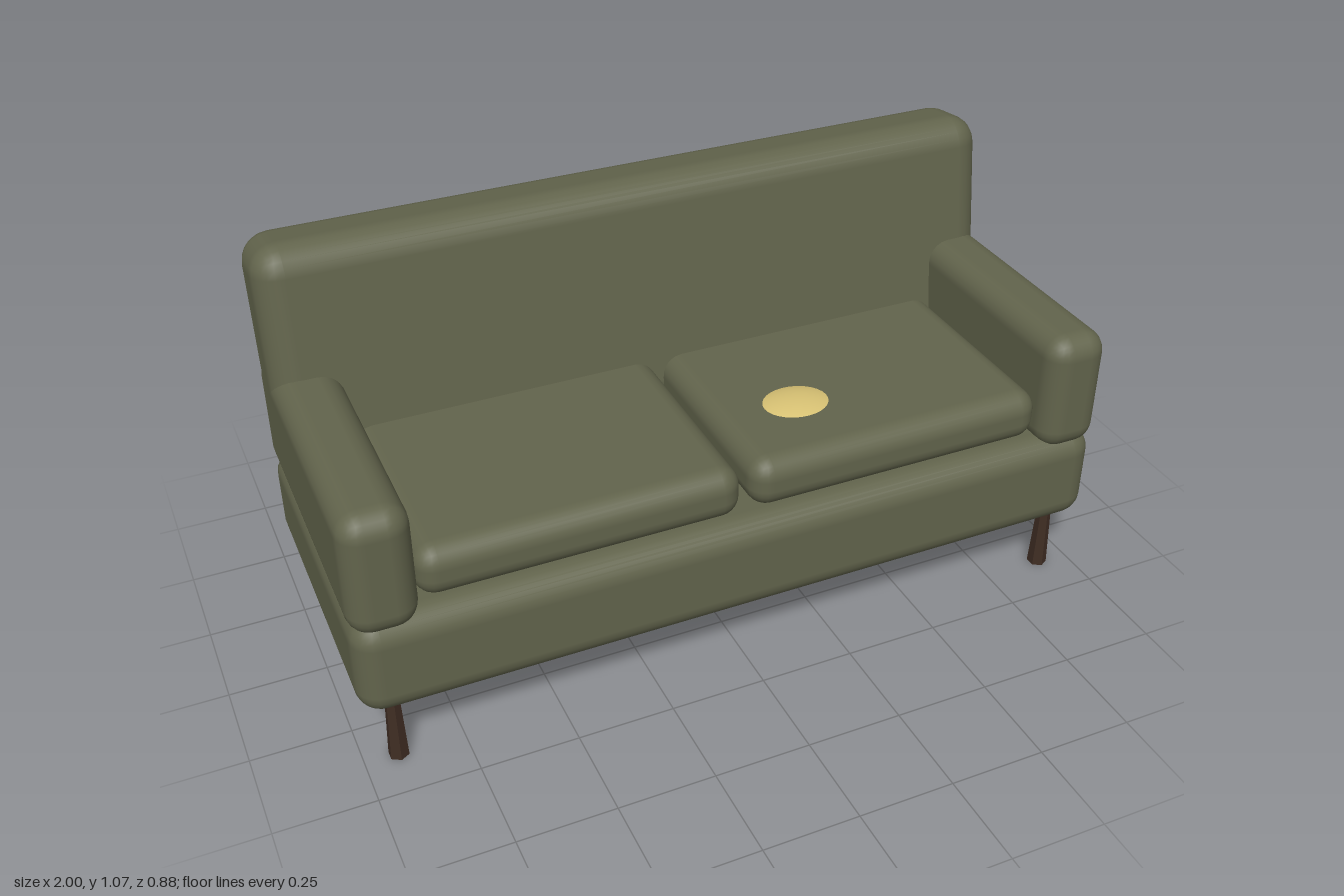
import * as THREE from 'three';
import { RoundedBoxGeometry } from 'three/addons/geometries/RoundedBoxGeometry.js';

export function createModel() {
  const sofa = new THREE.Group();
  sofa.name = 'sofa';

  const fabric = new THREE.MeshStandardMaterial({ color: 0x62644c });
  fabric.name = 'oliveFabric';
  const wood = new THREE.MeshStandardMaterial({ color: 0x3f2d23 });
  wood.name = 'darkWood';
  const yellow = new THREE.MeshStandardMaterial({ color: 0xd8c274 });
  yellow.name = 'paleYellow';

  function add(name, geometry, material, x, y, z) {
    const mesh = new THREE.Mesh(geometry, material);
    mesh.name = name;
    mesh.position.set(x, y, z);
    sofa.add(mesh);
    return mesh;
  }

  // Upholstered block given by its extents
  function block(name, [x0, x1], [y0, y1], [z0, z1], radius) {
    const geometry = new RoundedBoxGeometry(x1 - x0, y1 - y0, z1 - z0, 3, radius);
    return add(name, geometry, fabric, (x0 + x1) / 2, (y0 + y1) / 2, (z0 + z1) / 2);
  }

  block('base', [-1, 1], [0.18, 0.45], [-0.4, 0.44], 0.065);

  // Backrest leaning backwards
  const back = add('backrest', new RoundedBoxGeometry(2, 0.63, 0.226, 3, 0.075), fabric, 0, 0.751, -0.294);
  back.rotation.x = -0.14;

  // Arms and seat cushions
  block('leftArm', [0.83, 1], [0.415, 0.747], [-0.4, 0.44], 0.06);
  block('rightArm', [-1, -0.83], [0.415, 0.747], [-0.4, 0.44], 0.06);
  block('leftCushion', [0.01, 0.83], [0.452, 0.59], [-0.24, 0.405], 0.055);
  block('rightCushion', [-0.832, -0.014], [0.452, 0.59], [-0.24, 0.405], 0.055);

  // Small pillow sunk into the left cushion
  const pillow = add('pillow', new THREE.SphereGeometry(1, 28, 20), yellow, 0.235, 0.55, 0.175);
  pillow.scale.set(0.138, 0.052, 0.113);

  // Six-sided legs, wider at the foot
  const legGeometry = new THREE.CylinderGeometry(0.019, 0.026, 0.17, 6).toNonIndexed();
  legGeometry.computeVertexNormals();
  for (const x of [-0.915, 0.915]) {
    for (const z of [-0.325, 0.37]) {
      add(`${z > 0 ? 'front' : 'back'}${x > 0 ? 'Left' : 'Right'}Leg`, legGeometry, wood, x, 0.085, z);
    }
  }

  return sofa;
}
